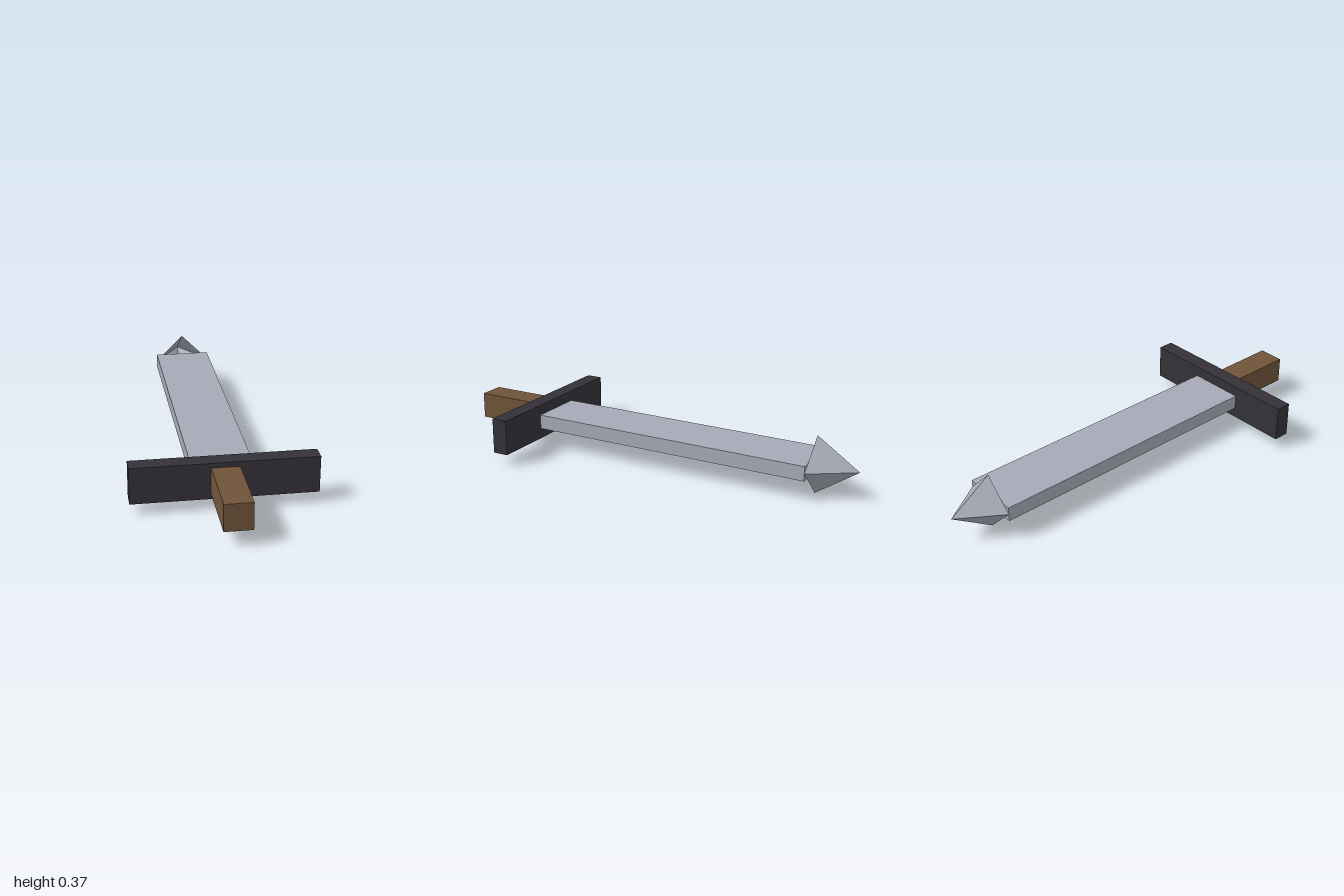
import * as THREE from 'three';

export function createModel() {
  const material = (name, color, side = THREE.FrontSide) => {
    const m = new THREE.MeshStandardMaterial({ color, flatShading: true, side });
    m.name = name;
    return m;
  };
  const steel = material('steel', 0xa6aab6, THREE.DoubleSide);
  const darkIron = material('darkIron', 0x343238);
  const wood = material('wood', 0x70543a);

  // The sword lies flat, built along x and turned to the diagonal
  const sword = new THREE.Group();
  sword.name = 'sword';
  sword.position.y = 0.19;
  sword.rotation.y = Math.PI / 4;

  // Box spanning x0..x1 along the sword's length
  const addBar = (name, x0, x1, height, width, mat) => {
    const mesh = new THREE.Mesh(new THREE.BoxGeometry(x1 - x0, height, width), mat);
    mesh.name = name;
    mesh.position.x = (x0 + x1) / 2;
    sword.add(mesh);
  };
  addBar('grip', -1.297, -0.852, 0.17, 0.17, wood);
  addBar('crossGuard', -0.852, -0.748, 0.23, 1.124, darkIron);
  addBar('blade', -0.748, 1.138, 0.094, 0.37, steel);

  // Hollow four-sided point, open at the back
  const point = new THREE.ConeGeometry(0.185, 0.276, 4, 1, true).rotateZ(-Math.PI / 2);
  const tip = new THREE.Mesh(point, steel);
  tip.name = 'bladeTip';
  tip.position.x = 1.276;
  sword.add(tip);

  const model = new THREE.Group();
  model.add(sword);
  return model;
}
